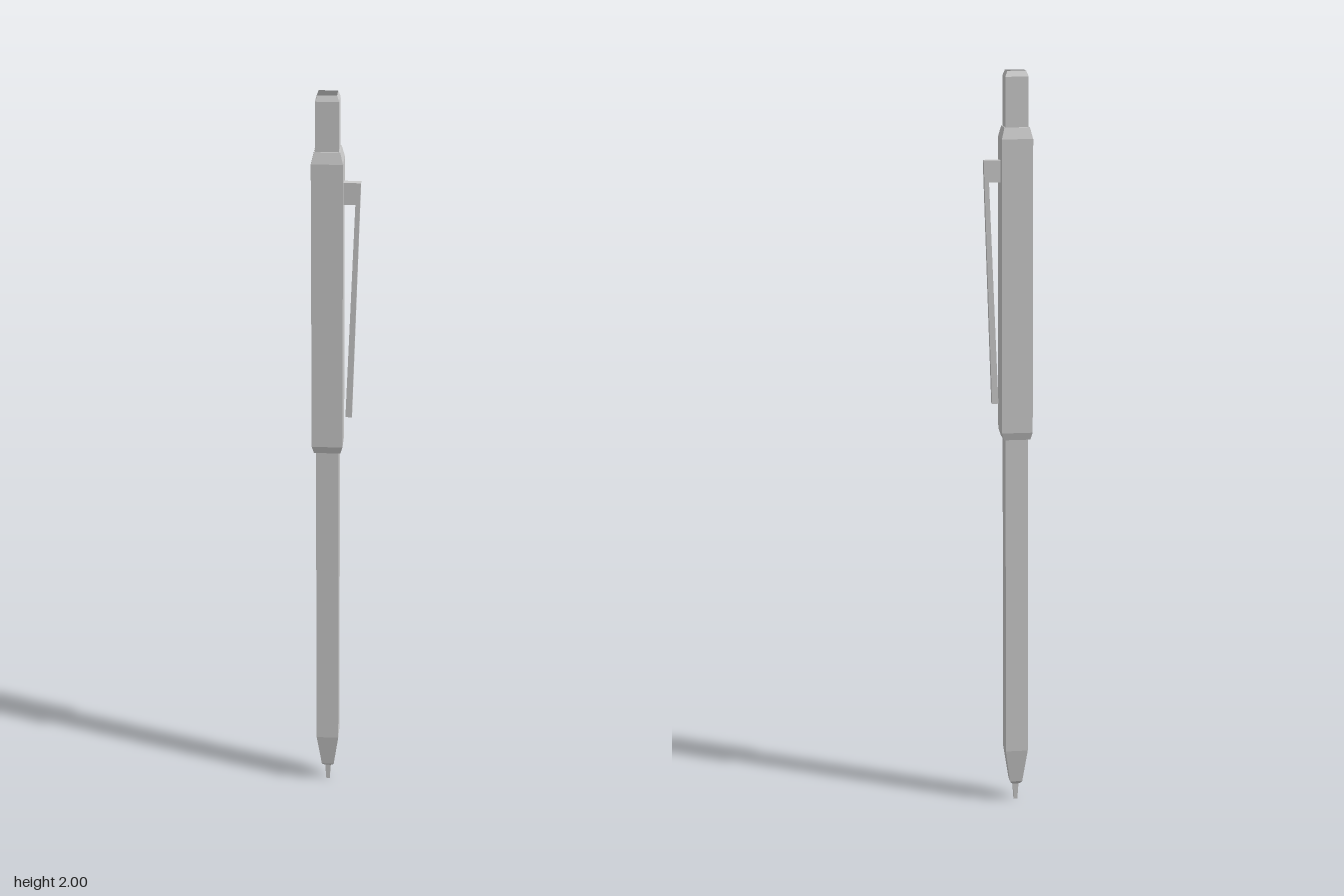
import * as THREE from 'three';

export function createModel() {
  const pen = new THREE.Group();
  pen.name = 'pen';
  const material = new THREE.MeshStandardMaterial({
    color: 0xcccccc, flatShading: true, side: THREE.DoubleSide,
  });

  // Each section is a square shell turned on four sides: [corner radius, height]
  const addSection = (name, profile) => {
    const points = profile.map(([r, y]) => new THREE.Vector2(r, y));
    const mesh = new THREE.Mesh(new THREE.LatheGeometry(points, 4), material);
    mesh.name = name;
    pen.add(mesh);
  };

  addSection('tip', [[0, 0], [0.007, 0], [0.011, 0.045], [0.019, 0.05]]);
  addSection('nose', [[0.019, 0.05], [0.024, 0.055], [0.043, 0.148]]);
  addSection('lowerBarrel', [[0.043, 0.148], [0.043, 1.025]]);
  addSection('upperBarrel', [
    [0.043, 1.025], [0.05, 1.025], [0.058, 1.045],
    [0.058, 1.825], [0.047, 1.855], [0.043, 1.855],
  ]);
  // The push button is open at the top
  addSection('pushButton', [[0.043, 1.855], [0.043, 1.985], [0.035, 2]]);

  // Pocket clip: a short foot at the top and an arm leaning in to the barrel
  const outline = [
    [0.04, 1.768], [0.085, 1.768], [0.064, 1.12],
    [0.047, 1.12], [0.071, 1.71], [0.04, 1.71],
  ].map(([x, y]) => new THREE.Vector2(x, y));
  const clipGeometry = new THREE.ExtrudeGeometry(new THREE.Shape(outline), {
    depth: 0.02, bevelEnabled: false,
  });
  clipGeometry.translate(0, 0, -0.01);
  const clip = new THREE.Mesh(clipGeometry, material);
  clip.name = 'pocketClip';
  clip.rotation.y = -Math.PI / 4;
  pen.add(clip);

  // Centre the whole width, clip included
  pen.position.set(-0.0045, 0, -0.0045);
  const model = new THREE.Group();
  model.add(pen);
  return model;
}
